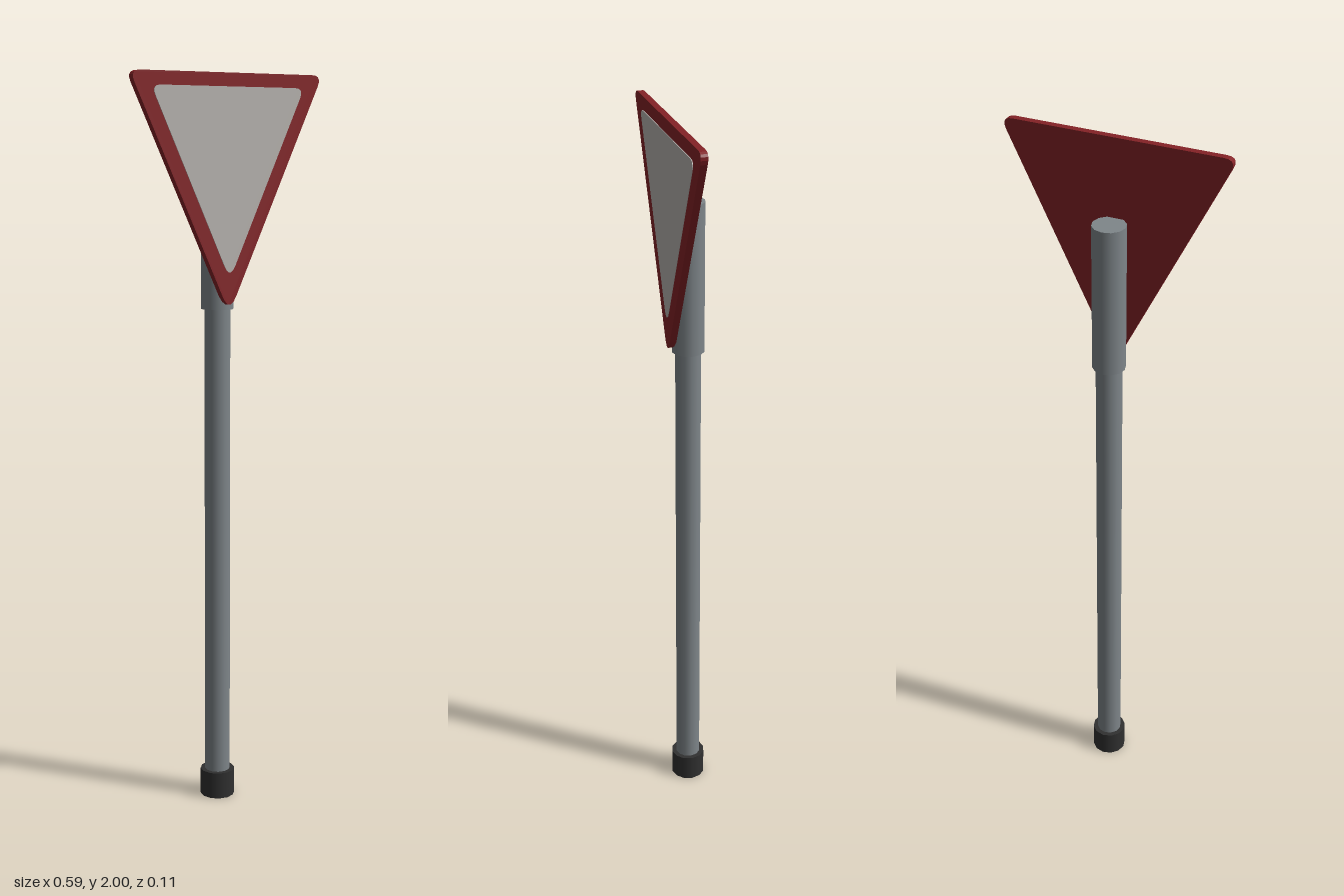
import * as THREE from 'three';

const mat = (name, color) => {
  const m = new THREE.MeshStandardMaterial({ color });
  m.name = name;
  return m;
};

// Downward-pointing triangle with rounded corners; cuts are the corner lengths
function roundedTriangle(halfWidth, top, bottom, topCut, bottomCut) {
  const corners = [
    [new THREE.Vector2(0, bottom), bottomCut],
    [new THREE.Vector2(halfWidth, top), topCut],
    [new THREE.Vector2(-halfWidth, top), topCut],
  ];
  const shape = new THREE.Shape();
  corners.forEach(([p, cut], i) => {
    const toward = (q) => q.clone().sub(p).setLength(cut).add(p);
    const a = toward(corners[(i + 2) % 3][0]);
    const b = toward(corners[(i + 1) % 3][0]);
    if (i === 0) shape.moveTo(a.x, a.y);
    else shape.lineTo(a.x, a.y);
    shape.quadraticCurveTo(p.x, p.y, b.x, b.y);
  });
  shape.closePath();
  return shape;
}

export function createModel() {
  const group = new THREE.Group();
  const steel = mat('steel grey', 0x7f868a);
  const rubber = mat('dark rubber', 0x303030);
  const red = mat('sign red', 0x842226);
  const white = mat('panel off-white', 0xb8b4b0);

  const add = (name, geometry, material, z) => {
    const mesh = new THREE.Mesh(geometry, material);
    mesh.name = name;
    mesh.position.z = z;
    group.add(mesh);
  };

  // Twelve-sided upright pieces: foot, post and the sleeve that holds the sign
  const upright = (name, radius, y0, y1, material) => {
    const g = new THREE.CylinderGeometry(radius, radius, y1 - y0, 12);
    add(name, g.translate(0, (y0 + y1) / 2, 0), material, -0.005);
  };
  upright('foot', 0.048, 0, 0.075, rubber);
  upright('post', 0.035, 0.07, 1.4, steel);
  upright('sleeve', 0.044, 1.385, 1.79, steel);

  // Sign plate and its thin face panel
  const plate = (shape, depth) =>
    new THREE.ExtrudeGeometry(shape, { depth, bevelEnabled: false, curveSegments: 5 });
  add('signPlate', plate(roundedTriangle(0.306, 2, 1.377, 0.034, 0.05), 0.018), red, 0.033);
  add('signPanel', plate(roundedTriangle(0.243, 1.965, 1.467, 0.03, 0.04), 0.003), white, 0.05);

  return group;
}
